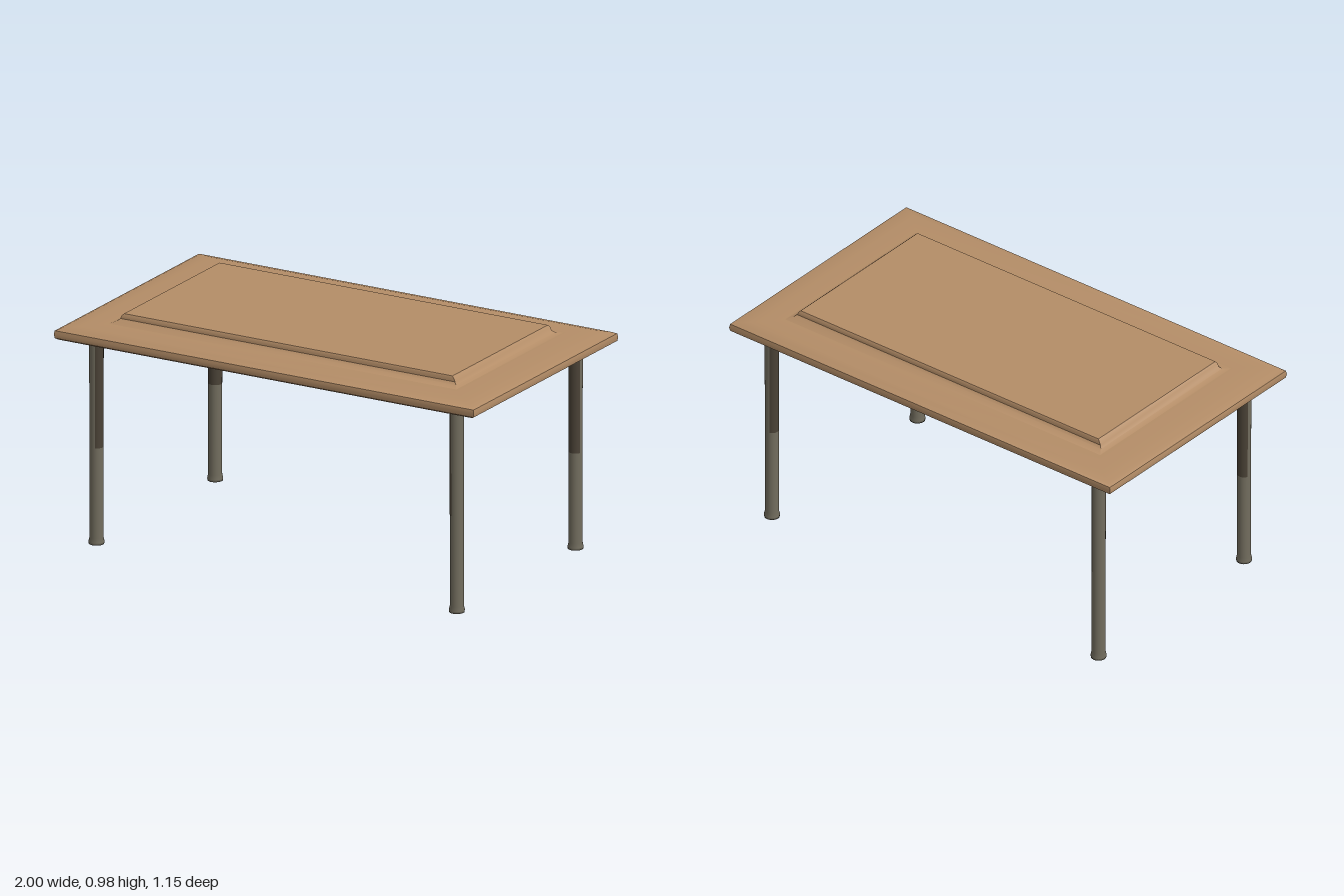
import * as THREE from 'three';
import { toCreasedNormals } from 'three/addons/utils/BufferGeometryUtils.js';

// Closed solid through rectangular rings [halfWidth, halfDepth, y], listed from bottom to top
function rectLoft(rings) {
  const signs = [[1, 1], [1, -1], [-1, -1], [-1, 1]];
  const loops = rings.map(([w, d, y]) => signs.map(([sx, sz]) => [sx * w, y, sz * d]));
  const pos = [];
  const quad = (a, b, c, d) => pos.push(...a, ...b, ...c, ...a, ...c, ...d);
  for (let r = 0; r < loops.length - 1; r++) {
    const lo = loops[r], hi = loops[r + 1];
    for (let i = 0; i < 4; i++) {
      const j = (i + 1) % 4;
      quad(lo[i], lo[j], hi[j], hi[i]);
    }
  }
  const first = loops[0], last = loops[loops.length - 1];
  quad(first[3], first[2], first[1], first[0]);
  quad(last[0], last[1], last[2], last[3]);
  const geo = new THREE.BufferGeometry();
  geo.setAttribute('position', new THREE.Float32BufferAttribute(pos, 3));
  return toCreasedNormals(geo, 0.7);
}

export function createModel() {
  const wood = new THREE.MeshStandardMaterial({ name: 'warm wood', color: 0xb48d67 });
  const metal = new THREE.MeshStandardMaterial({ name: 'grey metal', color: 0x726d5e });
  const stain = new THREE.MeshStandardMaterial({ name: 'dark stain', color: 0x4a4236 });

  const table = new THREE.Group();
  table.name = 'table';
  const add = (parent, name, geo, mat) => {
    const mesh = new THREE.Mesh(geo, mat);
    mesh.name = name;
    parent.add(mesh);
    return mesh;
  };

  // Table top: sunken underside border, rounded rim and bevelled upper edge
  add(table, 'tableTop', rectLoft([
    [0.80, 0.415, 0.888],
    [0.81, 0.425, 0.902],
    [0.94, 0.52, 0.902],
    [0.955, 0.535, 0.887],
    [0.985, 0.565, 0.885],
    [0.997, 0.574, 0.892],
    [1.0, 0.577, 0.908],
    [0.997, 0.574, 0.924],
    [0.98, 0.56, 0.931],
    [0.92, 0.525, 0.94],
    [0.83, 0.43, 0.941],
  ]), wood);

  // Raised centre panel with a small cove at its foot
  add(table, 'raisedPanel', rectLoft([
    [0.83, 0.43, 0.94],
    [0.807, 0.396, 0.948],
    [0.797, 0.386, 0.957],
    [0.79, 0.385, 0.972],
    [0.782, 0.381, 0.979],
  ]), wood);

  // Legs: slim tubes with a flared foot and a dark stain on the upper inner side
  const legProfile = [[0, 0], [0.032, 0.002], [0.033, 0.012], [0.029, 0.03], [0.029, 0.42]]
    .map(([r, y]) => new THREE.Vector2(r, y));
  const lower = new THREE.LatheGeometry(legProfile, 20);
  const upper = (start, sweep) =>
    new THREE.CylinderGeometry(0.03, 0.029, 0.485, 20, 1, true, start, sweep).translate(0, 0.6625, 0);
  const collar = new THREE.CylinderGeometry(0.037, 0.03, 0.018, 20).translate(0, 0.894, 0);

  for (const sx of [1, -1]) for (const sz of [1, -1]) {
    const leg = new THREE.Group();
    leg.name = (sz > 0 ? 'front' : 'back') + (sx > 0 ? 'Left' : 'Right') + 'Leg';
    leg.position.set(sx * 0.858, 0, sz * 0.474);
    table.add(leg);
    const half = THREE.MathUtils.degToRad(115);
    const start = Math.atan2(-sx, -sz) - half;
    add(leg, 'lowerTube', lower, metal);
    add(leg, 'stainedSide', upper(start, 2 * half), stain);
    add(leg, 'cleanSide', upper(start + 2 * half, 2 * (Math.PI - half)), metal);
    add(leg, 'collar', collar, wood);
  }
  return table;
}
